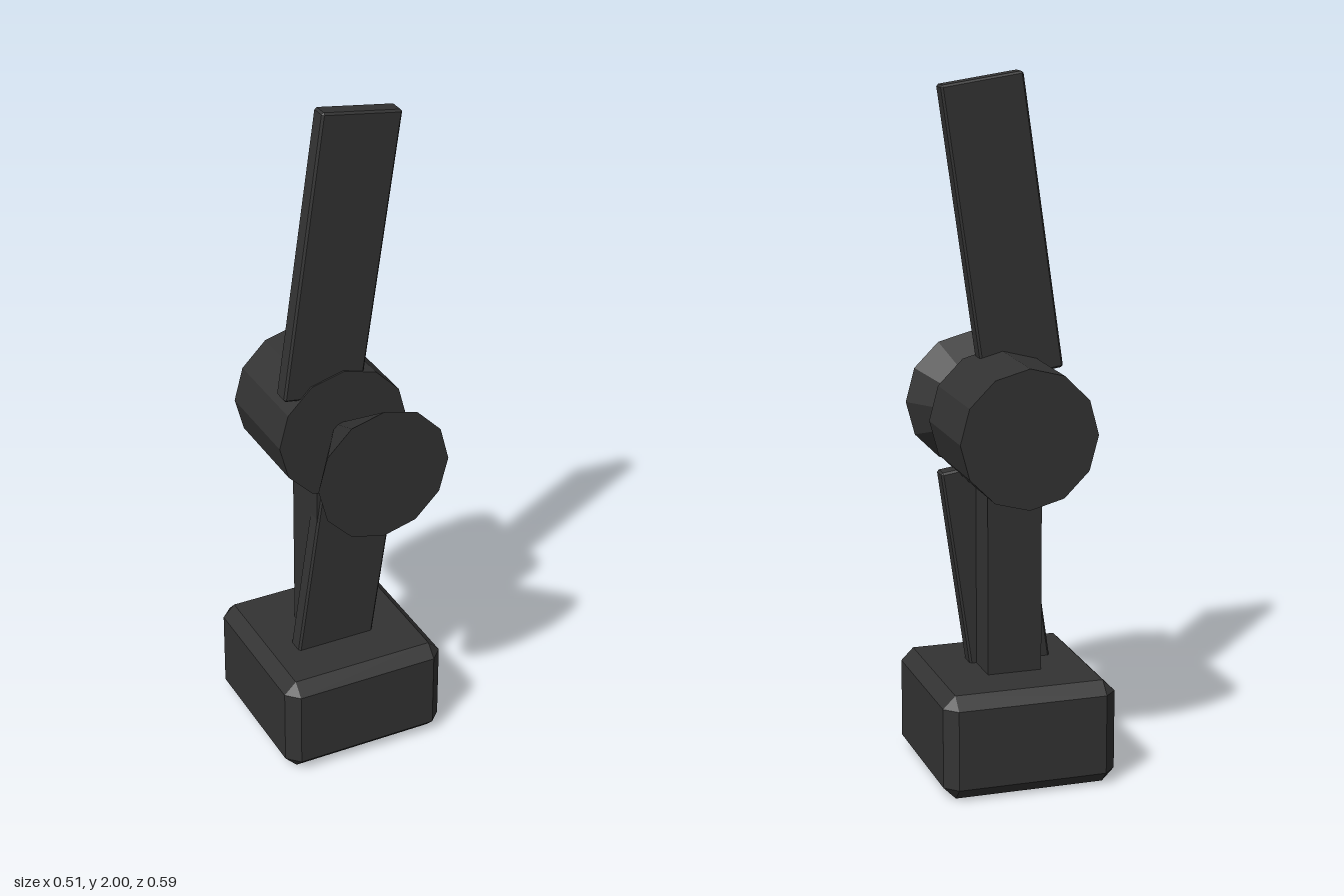
import * as THREE from 'three';
import { ConvexGeometry } from 'three/addons/geometries/ConvexGeometry.js';

// Box with every edge chamfered by c
function chamferBox(w, h, d, c) {
  const x = w / 2, y = h / 2, z = d / 2, pts = [];
  for (const sx of [-1, 1]) for (const sy of [-1, 1]) for (const sz of [-1, 1]) {
    pts.push(
      new THREE.Vector3(sx * x, sy * (y - c), sz * (z - c)),
      new THREE.Vector3(sx * (x - c), sy * y, sz * (z - c)),
      new THREE.Vector3(sx * (x - c), sy * (y - c), sz * z));
  }
  return new ConvexGeometry(pts);
}

export function createModel() {
  const group = new THREE.Group();
  const charcoal = new THREE.MeshStandardMaterial({ color: 0x333333, flatShading: true });
  charcoal.name = 'charcoal';

  const add = (name, geometry, x, y, z) => {
    const mesh = new THREE.Mesh(geometry, charcoal);
    mesh.name = name;
    mesh.position.set(x, y, z);
    group.add(mesh);
    return mesh;
  };

  const axisY = 1.02, bodyZ = -0.042;

  // Pedestal and square post
  add('base', chamferBox(0.508, 0.305, 0.506, 0.036), 0, 0.1525, bodyZ);
  add('post', new THREE.BoxGeometry(0.16, 0.8, 0.16), 0, 0.6, bodyZ);

  // Twelve-sided hub lying along z
  const hub = new THREE.CylinderGeometry(0.2, 0.2, 0.305, 12).rotateX(Math.PI / 2);
  add('hub', hub, 0, axisY, -0.1045);

  // Nose cone, narrow end sunk into the hub
  const cone = new THREE.ConeGeometry(0.2, 0.305, 12).rotateX(-Math.PI / 2);
  add('noseCone', cone, 0, axisY, 0.1425);

  // Two tilted blades, the lower one turned half a circle about the hub
  const blade = chamferBox(0.24, 0.848, 0.054, 0.006);
  for (const s of [1, -1]) {
    const mesh = add(s > 0 ? 'upperBlade' : 'lowerBlade', blade, -0.0025 * s, axisY + 0.545 * s, 0.016);
    mesh.rotation.z = -0.143;
  }
  return group;
}
